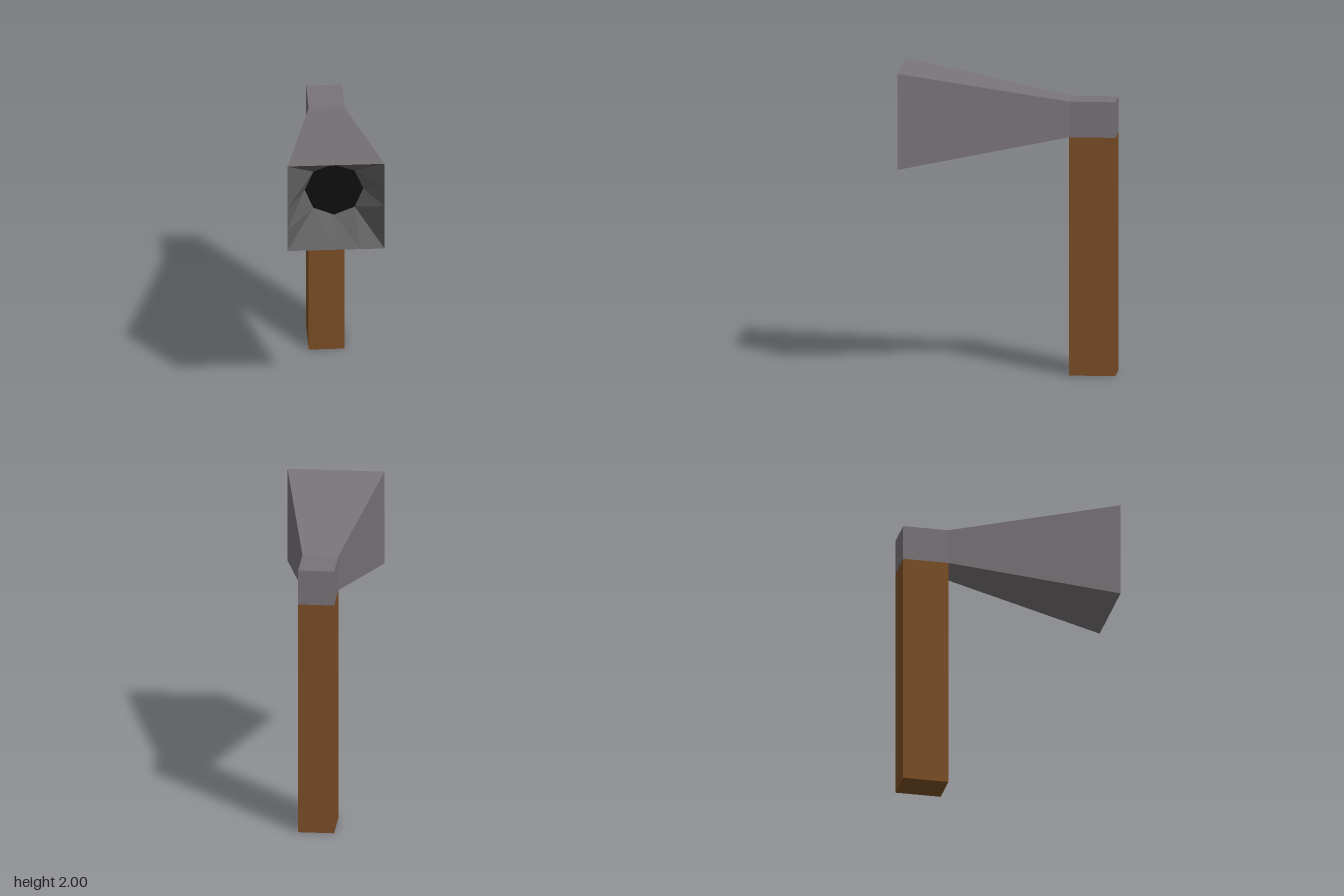
import * as THREE from 'three';

const AXIS_Y = 1.685, FRONT_Z = 0.7, NECK_Z = -0.4, BACK_Z = -0.7;
const NECK = 0.117, MOUTH = 0.316; // half widths of the square horn
const HOLE_R = 0.19, HOLE_Z = 0.46;

function addMesh(group, name, geometry, color) {
  const material = new THREE.MeshStandardMaterial({ color, flatShading: true });
  const mesh = new THREE.Mesh(geometry, material);
  mesh.name = name;
  group.add(mesh);
  return mesh;
}

// Faceted funnel blending the square mouth into an octagonal hole
function funnelGeometry() {
  const outer = [], inner = [];
  for (let j = 0; j < 16; j++) {
    const a = (Math.floor(j / 4) * Math.PI) / 2, s = (j % 4) / 2;
    // one quarter of the square: up its side to the corner, then along the top
    const p = new THREE.Vector2(s <= 1 ? 1 : 2 - s, Math.min(s, 1));
    p.rotateAround(new THREE.Vector2(), a).multiplyScalar(MOUTH);
    outer.push([p.x, p.y, FRONT_Z]);
    const b = a + (j % 4 ? Math.PI / 4 : 0); // three rim points share each diagonal vertex
    inner.push([HOLE_R * Math.cos(b), HOLE_R * Math.sin(b), HOLE_Z]);
  }
  const positions = [];
  for (let j = 0; j < 16; j++) {
    const k = (j + 1) % 16;
    positions.push(...outer[j], ...outer[k], ...inner[j]);
    // the second triangle vanishes where both rim points share a vertex
    if (j % 4 === 0 || j % 4 === 3) positions.push(...inner[j], ...outer[k], ...inner[k]);
  }
  const g = new THREE.BufferGeometry();
  g.setAttribute('position', new THREE.Float32BufferAttribute(positions, 3));
  g.computeVertexNormals();
  return g;
}

export function createModel() {
  const model = new THREE.Group();
  model.name = 'hornOnPost';
  const metal = 0x787377, wood = 0x7a4e26;
  const depth = NECK_Z - BACK_Z, midZ = (NECK_Z + BACK_Z) / 2;
  const postTop = AXIS_Y - NECK;

  // Wooden post
  addMesh(model, 'post', new THREE.BoxGeometry(NECK * 2, postTop, depth), wood)
    .position.set(0, postTop / 2, midZ);

  // Block on top of the post
  addMesh(model, 'headBlock', new THREE.BoxGeometry(NECK * 2, NECK * 2, depth), metal)
    .position.set(0, AXIS_Y, midZ);

  // Square flaring horn
  const length = FRONT_Z - NECK_Z;
  const horn = new THREE.CylinderGeometry(MOUTH * Math.SQRT2, NECK * Math.SQRT2, length, 4, 1, true);
  horn.rotateY(Math.PI / 4).rotateX(Math.PI / 2);
  addMesh(model, 'horn', horn, metal).position.set(0, AXIS_Y, (FRONT_Z + NECK_Z) / 2);

  // Recessed inside of the horn
  addMesh(model, 'funnel', funnelGeometry(), 0x5e5e5e).position.y = AXIS_Y;

  // Dark octagon at the bottom of the funnel
  addMesh(model, 'hole', new THREE.CircleGeometry(HOLE_R, 8), 0x0e0e0e)
    .position.set(0, AXIS_Y, HOLE_Z);

  return model;
}
